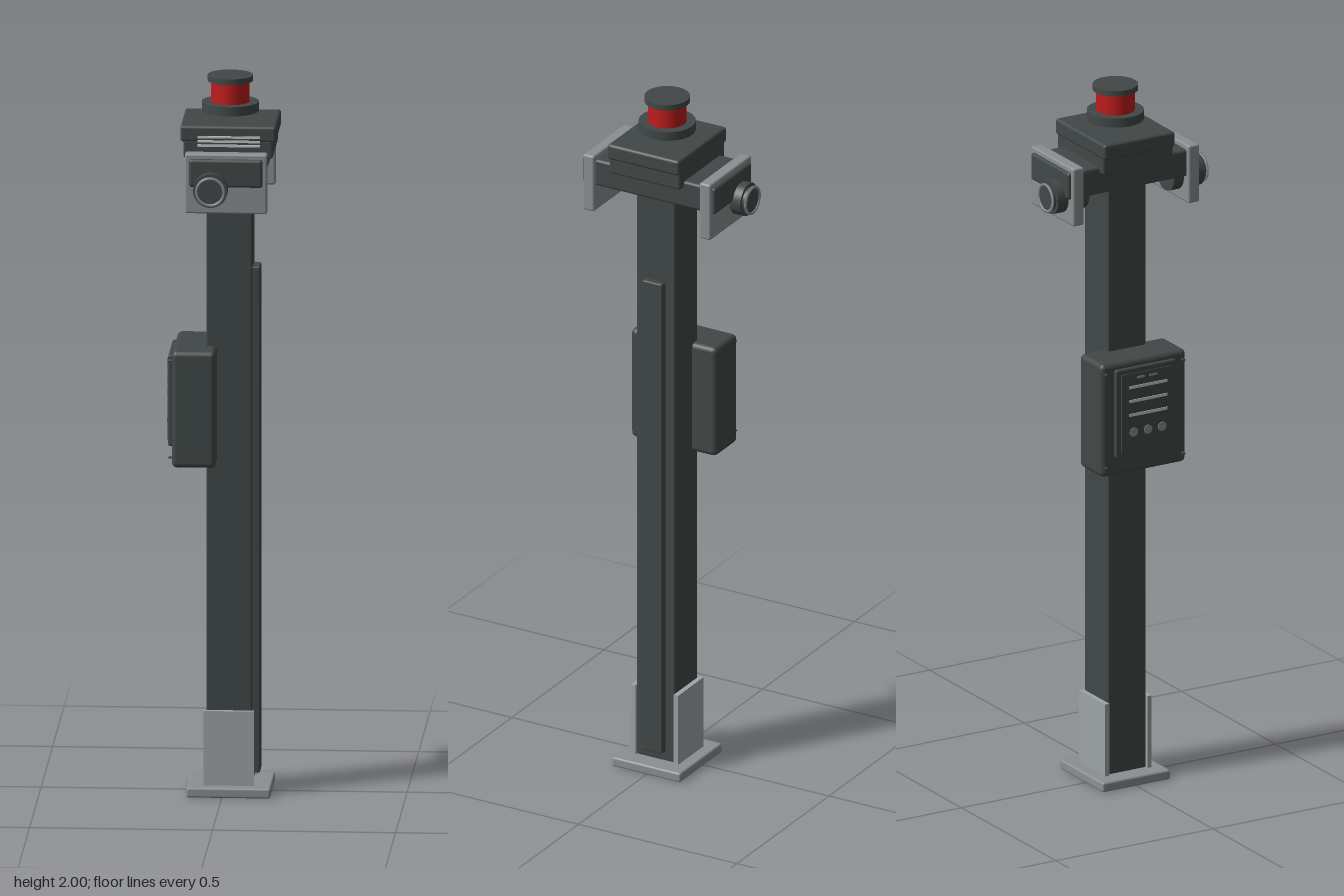
import * as THREE from 'three';
import { RoundedBoxGeometry } from 'three/addons/geometries/RoundedBoxGeometry.js';

const mat = (name, color) => {
  const m = new THREE.MeshStandardMaterial({ color });
  m.name = name;
  return m;
};

export function createModel() {
  const root = new THREE.Group();
  root.name = 'signalPost';
  const dark = mat('charcoal', 0x414847);
  const grey = mat('steelGrey', 0x8a8f91);
  const pale = mat('paleSteel', 0x9ea4a6);
  const red = mat('beaconRed', 0xc01c1c);
  const light = mat('lightTrim', 0xc4c8ca);

  const add = (name, geo, material, parent = root) => {
    const m = new THREE.Mesh(geo, material);
    m.name = name;
    parent.add(m);
    return m;
  };
  // Box given by its min and max on each axis; r rounds the edges
  const box = (name, material, [x0, x1], [y0, y1], [z0, z1], r = 0, parent = root) => {
    const s = [x1 - x0, y1 - y0, z1 - z0];
    const geo = r ? new RoundedBoxGeometry(...s, 2, r) : new THREE.BoxGeometry(...s);
    geo.translate((x0 + x1) / 2, (y0 + y1) / 2, (z0 + z1) / 2);
    return add(name, geo, material, parent);
  };
  const disc = (name, material, r, y0, y1, x, parent = root) => {
    const geo = new THREE.CylinderGeometry(r, r, y1 - y0, 48);
    geo.translate(x, (y0 + y1) / 2, 0);
    return add(name, geo, material, parent);
  };

  // Post, base and cable cover
  box('basePlate', grey, [-0.097, 0.133], [0, 0.028], [-0.108, 0.108], 0.006);
  box('column', dark, [-0.045, 0.08], [0.028, 1.79], [-0.06, 0.06], 0.004);
  box('cableCover', dark, [0.078, 0.1], [0.055, 1.47], [-0.031, 0.031], 0.004);
  for (const s of [1, -1]) {
    box('baseBracket', pale, [-0.052, 0.086], [0.028, 0.236], s > 0 ? [0.06, 0.074] : [-0.074, -0.06]);
  }

  // Control box with its panel on the right side
  const control = new THREE.Group();
  control.name = 'controlBox';
  root.add(control);
  box('controlHousing', dark, [-0.135, -0.015], [0.927, 1.253], [-0.135, 0.135], 0.014, control);
  box('controlPanel', dark, [-0.147, -0.133], [0.98, 1.235], [-0.096, 0.096], 0.005, control);
  box('panelFace', dark, [-0.15, -0.146], [0.995, 1.22], [-0.08, 0.08], 0, control);
  [1.18, 1.14, 1.1].forEach((y) =>
    box('panelBar', light, [-0.152, -0.149], [y - 0.004, y + 0.004], [-0.055, 0.065], 0, control));
  for (const z of [-0.02, 0.02]) {
    box('panelMark', grey, [-0.152, -0.149], [1.203, 1.209], [z - 0.012, z + 0.012], 0, control);
  }
  for (const z of [-0.042, 0.003, 0.048]) {
    const geo = new THREE.CylinderGeometry(0.013, 0.013, 0.003, 20).rotateZ(Math.PI / 2);
    add('panelButton', geo, grey, control).position.set(-0.1505, 1.05, z);
  }
  for (const z of [-0.122, 0.122]) for (const y of [0.955, 1.225]) {
    const geo = new THREE.CylinderGeometry(0.004, 0.004, 0.012, 12).rotateZ(Math.PI / 2);
    add('coverScrew', geo, dark, control).position.set(-0.138, y, z);
  }

  // Cross arm with a mounting plate and a sensor at each end
  box('crossArm', dark, [-0.083, 0.118], [1.73, 1.808], [-0.21, 0.21], 0.008);
  for (const s of [1, -1]) {
    const end = new THREE.Group();
    end.name = s > 0 ? 'frontSensor' : 'backSensor';
    root.add(end);
    box('mountPlate', grey, [-0.095, 0.13], [1.655, 1.822], s > 0 ? [0.166, 0.201] : [-0.201, -0.166], 0.006, end);
    const knob = new THREE.Group();
    knob.name = 'sensorBarrel';
    knob.position.set(-0.023, 1.726, 0);
    knob.rotation.x = s * Math.PI / 2;
    end.add(knob);
    disc('barrel', dark, 0.047, 0.135, 0.234, 0, knob);
    disc('lensCollar', dark, 0.037, 0.234, 0.245, 0, knob);
    const rim = new THREE.LatheGeometry([[0.034, 0.243], [0.041, 0.243], [0.041, 0.248], [0.034, 0.248], [0.034, 0.243]]
      .map(([r, y]) => new THREE.Vector2(r, y)), 40);
    add('lensRim', rim, grey, knob);
  }

  // Head box with vents on the front
  box('headBody', dark, [-0.104, 0.14], [1.79, 1.842], [-0.111, 0.111], 0.006);
  box('headLid', dark, [-0.113, 0.149], [1.835, 1.88], [-0.113, 0.113], 0.008);
  for (const y of [1.826, 1.838, 1.85]) {
    box('ventSlat', light, [-0.065, 0.105], [y - 0.003, y + 0.003], [0.108, 0.117]);
  }

  // Beacon
  disc('beaconBase', dark, 0.078, 1.9, 1.926, 0.017);
  disc('beaconLamp', red, 0.053, 1.926, 1.985, 0.017);
  disc('beaconCap', dark, 0.062, 1.984, 2, 0.017);
  return root;
}
